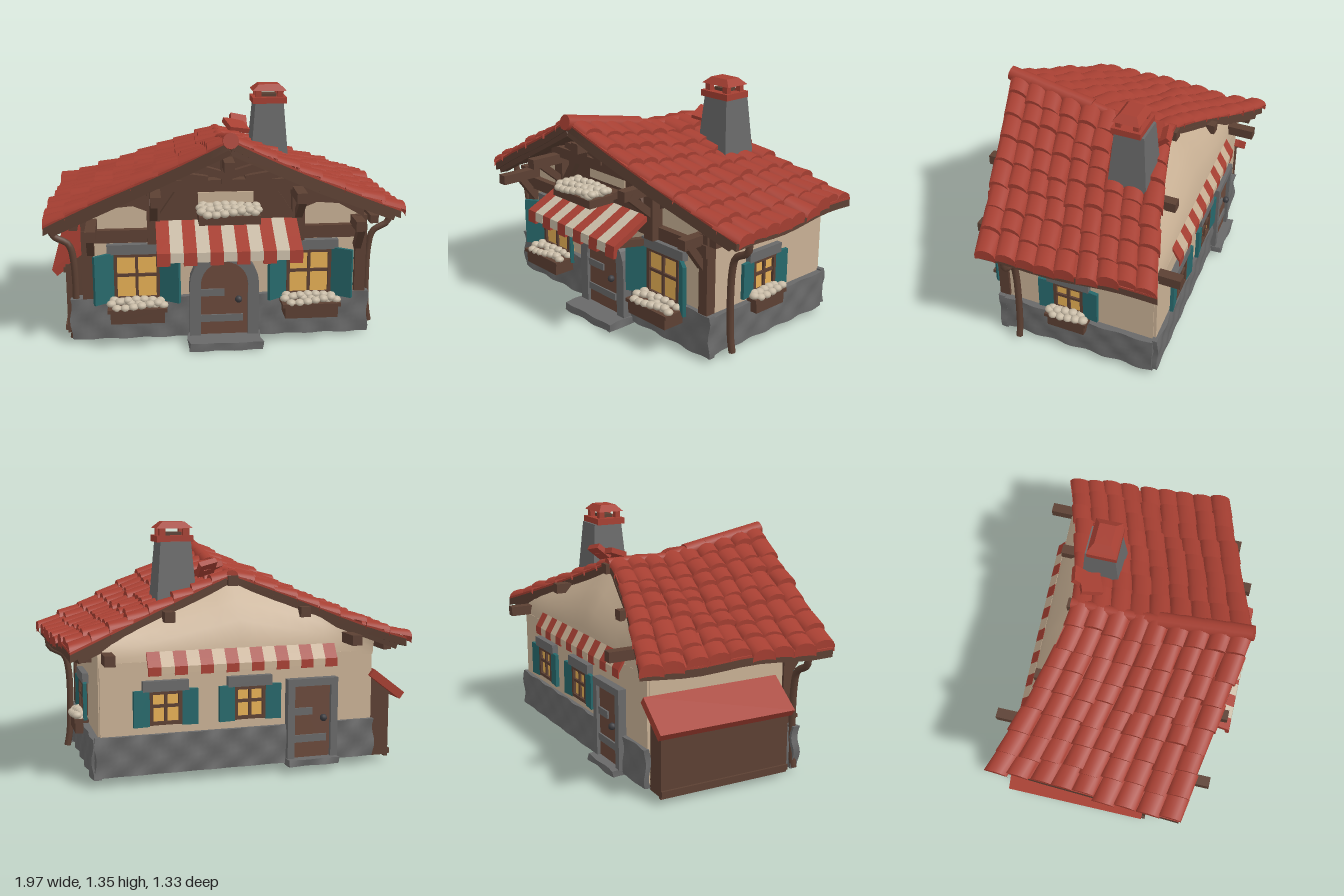
import * as THREE from 'three';

const mat = (name, color, side = THREE.FrontSide) => Object.assign(new THREE.MeshStandardMaterial({ color, side }), { name });
const tile = mat('red tile', 0xa63f32, THREE.DoubleSide), plaster = mat('cream plaster', 0xc8b094, THREE.DoubleSide);
const wood = mat('brown timber', 0x5c4033), stone = mat('grey stone', 0x696969), teal = mat('teal paint', 0x27686b);
const glass = mat('lit window', 0xe6b055), pale = mat('pale cloth and flowers', 0xc8bba6);
const doorWood = mat('door wood', 0x6a493b), iron = mat('dark iron', 0x3c3c40);
const { lerp } = THREE.MathUtils;

function place(parent, object, name, x = 0, y = 0, z = 0) {
  object.name = name;
  object.position.set(x, y, z);
  parent.add(object);
  return object;
}
const add = (p, name, geo, m, x, y, z) => place(p, new THREE.Mesh(geo, m), name, x, y, z);
const box = (p, name, m, w, h, d, x, y, z) => add(p, name, new THREE.BoxGeometry(w, h, d), m, x, y, z);
const extrude = (shape, depth) => new THREE.ExtrudeGeometry(shape, { depth, bevelEnabled: false });
const polygon = (pts) => new THREE.Shape(pts.map(([x, y]) => new THREE.Vector2(x, y)));
function turned(parent, name, x, y, z, ry) {
  const g = place(parent, new THREE.Group(), name, x, y, z);
  g.rotation.y = ry;
  return g;
}
// Square timber running from a to b
function beam(p, name, a, b, t) {
  const A = new THREE.Vector3(...a), B = new THREE.Vector3(...b), mid = A.clone().lerp(B, 0.5);
  box(p, name, wood, t, t, A.distanceTo(B), mid.x, mid.y, mid.z).lookAt(B);
}
function mapVertices(geo, fn) {
  const pos = geo.attributes.position, v = new THREE.Vector3();
  for (let i = 0; i < pos.count; i++) {
    fn(v.fromBufferAttribute(pos, i));
    pos.setXYZ(i, v.x, v.y, v.z);
  }
  geo.computeVertexNormals();
  return geo;
}
// Lumpy stonework given by its limits
function rubble(p, name, x0, x1, y0, y1, z0, z1) {
  const n = (d) => Math.max(2, Math.round(d / 0.03));
  const g = new THREE.BoxGeometry(x1 - x0, y1 - y0, z1 - z0, n(x1 - x0), n(y1 - y0), n(z1 - z0));
  add(p, name, mapVertices(g.translate((x0 + x1) / 2, (y0 + y1) / 2, (z0 + z1) / 2), (v) => {
    const { x, y, z } = v;
    v.x += 0.008 * Math.sin(36 * y + 3) * Math.sin(31 * z);
    v.z += 0.008 * Math.sin(31 * x) * Math.sin(36 * y + 1);
  }), stone);
}
// Roof surface: s runs from -1 (eave) over 0 (ridge) to 1 (eave), v from front to back
function roofPoint(s, v, lift = 0) {
  const u = Math.abs(s);
  const z = lerp(0.65 - (s > 0 ? 0.28 : 0.17) * u, -0.33 - 0.27 * u ** 1.3, v);
  const y = lerp(1.055 + 0.19 * Math.max(0, z), 0.705, u) + 0.01 * Math.sin(9 * z + 5 * s) * u;
  return new THREE.Vector3(lerp(0.97, 0.91, v) * s, y + lift, z);
}
const roofSlab = (low, high) => mapVertices(new THREE.BoxGeometry(2, 1, 1, 16, 1, 10),
  (v) => v.copy(roofPoint(v.x, 0.5 - v.z, v.y > 0 ? high : low)));
// Overlapping half-round tiles on one slope
function tiles(side) {
  const pos = [], idx = [], cols = 9, rows = 8, K = 6;
  let seed = side > 0 ? 7 : 19;
  const rnd = () => ((seed = (seed * 16807) % 2147483647) / 2147483647) - 0.5;
  for (let j = 0; j < cols; j++) for (let i = 0; i < rows; i++) {
    const end = (i + 1) / rows + 0.015 + rnd() * 0.035, shift = rnd() * 0.02, rise = 0.02 + rnd() * 0.016;
    const start = pos.length / 3;
    for (const [u, lift, h] of [[i / rows, 0.006, 0.028], [end, rise, 0.036], [end, rise, 0.036], [end - 0.004, -0.015, 0.008]])
      for (let k = 0; k <= K; k++) {
        const t = Math.PI * k / K, v = (j + 0.5) / cols - Math.cos(t) * 0.06 + shift;
        pos.push(...roofPoint(side * u, v, lift + Math.sin(t) * h));
      }
    for (const a of [start, start + 2 * (K + 1)]) for (let k = a; k < a + K; k++)
      idx.push(k, k + K + 1, k + 1, k + K + 1, k + K + 2, k + 1);
  }
  const g = new THREE.BufferGeometry().setAttribute('position', new THREE.Float32BufferAttribute(pos, 3)).setIndex(idx);
  g.computeVertexNormals();
  return g;
}
// Bank of blossoms along x
function flowers(p, w, y, z, spread) {
  const n = Math.round(w / 0.014);
  for (let i = 0; i < n; i++) add(p, 'flowers', new THREE.IcosahedronGeometry(0.027, 1), pale,
    (i / (n - 1) - 0.5) * w, y + 0.01 * Math.sin(i * 2.3), z + spread * Math.sin(i * 4.1)).scale.y = 0.75;
}
// Window facing local +z, centred on its panes; planter is the depth of the flower box
function makeWindow(parent, x, y, z, ry, w, h, shutterW, angle, planter) {
  const g = turned(parent, 'window', x, y, z, ry);
  box(g, 'glass', glass, w, h, 0.08, 0, 0, -0.03);
  for (const s of [-1, 1]) {
    box(g, 'frameSide', wood, 0.018, h + 0.02, 0.03, s * w / 2, 0, 0.01);
    box(g, 'frameRail', wood, w, 0.018, 0.03, 0, s * h / 2, 0.01);
    box(g, 'shutter', teal, shutterW / Math.cos(angle), h + 0.03, 0.02, s * (w / 2 + 0.01 + shutterW / 2), 0,
      0.015 + shutterW * Math.sin(angle) / 2).rotation.y = -s * angle;
  }
  box(g, 'mullion', wood, 0.016, h, 0.02, 0, 0, 0.012);
  box(g, 'transom', wood, w, 0.016, 0.02, 0, 0.01, 0.012);
  box(g, 'lintel', stone, w + 0.09, 0.055, 0.04, 0, h / 2 + 0.035, 0.01);
  if (!planter) return;
  box(g, 'flowerBox', wood, w + 0.06, 0.075, planter + 0.06, 0, -h / 2 - 0.065, planter / 2 - 0.01);
  box(g, 'flowerBoxRim', wood, w + 0.09, 0.02, planter + 0.015, 0, -h / 2 - 0.03, planter / 2 + 0.02);
  flowers(g, w + 0.05, -h / 2 - 0.008, planter / 2 + 0.02, planter * 0.4);
}
// Door in a stone surround facing local +z; spring heights a and b start the arches, steps = 1 gives a square head
function makeDoor(parent, x, y, z, ry, a, springA, b, springB, steps) {
  const g = turned(parent, 'door', x, y, z, ry);
  const outline = (r, spring) => [[r, 0], ...Array.from({ length: steps + 1 }, (_, i) =>
    [r * Math.cos(Math.PI * i / steps), spring + r * Math.sin(Math.PI * i / steps)]), [-r, 0]];
  const leaf = outline(b, springB).reverse();
  add(g, 'doorSurround', extrude(polygon([...outline(a, springA), ...leaf]), 0.06), stone, 0, 0, -0.02);
  add(g, 'doorLeaf', extrude(polygon(leaf), 0.09), doorWood, 0, 0, -0.07);
  box(g, 'upperStrap', stone, b, 0.04, 0.012, -b * 0.5, 0.26, 0.024);
  box(g, 'lowerStrap', stone, b * 1.8, 0.04, 0.012, -b * 0.1, 0.11, 0.024);
  add(g, 'handle', new THREE.SphereGeometry(0.02, 10, 8), iron, b * 0.6, 0.22, 0.035);
}
// Striped awning hung from its upper edge
function makeAwning(parent, x, y, z, ry, n, w, drop, reach, second) {
  const g = turned(parent, 'awning', x, y, z, ry);
  for (let i = 0; i < n; i++) {
    const end = i % 2 ? 0.9 : 1;
    const side = polygon([[0, 0], [0.55, -0.35], [1, -0.62], [1.02, -end], [0.93, -end], [0.9, -0.75], [0.5, -0.52], [0, -0.16]]
      .map(([a, b]) => [a * reach, b * drop]));
    add(g, 'awningStripe', extrude(side, w).rotateY(-Math.PI / 2), i % 2 ? second : tile, (i - n / 2 + 1) * w);
  }
}

export function createModel() {
  const house = new THREE.Group();
  house.name = 'cottage';
  const back = turned(house, 'backWallParts', 0, 0, -0.505, 0.04);

  // Stone footing and steps
  rubble(house, 'frontFooting', 0.13, 0.8, 0.02, 0.26, 0.335, 0.375);
  rubble(house, 'frontFooting', -0.85, -0.13, 0.025, 0.26, 0.335, 0.375);
  rubble(house, 'leftFooting', 0.76, 0.8, 0.035, 0.25, -0.54, 0.37);
  rubble(house, 'rightFooting', -0.82, -0.76, 0.04, 0.25, -0.46, 0.37);
  rubble(back, 'backFooting', -0.26, 0.79, 0.05, 0.26, -0.03, 0);
  rubble(back, 'backFooting', -0.77, -0.53, 0.05, 0.26, -0.03, 0);
  rubble(house, 'frontStep', -0.21, 0.19, 0, 0.045, 0.33, 0.54);
  rubble(back, 'backStep', -0.54, -0.25, 0.04, 0.075, -0.09, 0.02);

  // Plastered walls, with the rear gable leaning in under the roof
  const gable = polygon([[-0.76, 0.05], [0.76, 0.05], [0.76, 0.72], [0, 1.06], [-0.76, 0.72]]);
  add(house, 'frontWall', new THREE.ShapeGeometry(gable), plaster, 0, 0, 0.345);
  box(house, 'leftWall', plaster, 0.02, 0.67, 0.87, 0.755, 0.395, -0.095);
  box(house, 'rightWall', plaster, 0.02, 0.67, 0.81, -0.755, 0.395, -0.065);
  box(back, 'backWall', plaster, 1.52, 0.57, 0.02, 0, 0.355, 0);
  add(house, 'rearGable', mapVertices(new THREE.PlaneGeometry(1.53, 1, 16, 4), (v) => {
    const t = v.y + 0.5, top = roofPoint(v.x / 0.91, 0.98);
    v.set(v.x, lerp(0.62, top.y - 0.02, t), lerp(-0.515 - 0.04 * v.x, top.z, t * t));
  }), plaster);

  // Roof, ridge caps and raised tiles beside the chimney
  add(house, 'roofBoards', roofSlab(-0.04, 0), wood);
  add(house, 'roofBed', roofSlab(0, 0.012), tile);
  for (const s of [-1, 1]) add(house, 'roofTiles', tiles(s), tile);
  for (let i = 0; i < 8; i++) {
    const p = roofPoint(0, (i + 0.5) / 8), r = i < 4 ? 0.047 : 0.034;
    add(house, 'ridgeTile', new THREE.CylinderGeometry(r * 0.88, r, 0.14, 12), tile, p.x, p.y, p.z)
      .rotation.x = Math.PI / 2 - (p.z > 0 ? 0.19 : 0) - 0.04;
  }
  box(house, 'raisedTile', tile, 0.13, 0.03, 0.12, 0.12, 1.09, -0.26).rotation.set(0.35, 0.3, -0.3);
  box(house, 'raisedTile', tile, 0.1, 0.03, 0.1, 0.14, 1.1, -0.32).rotation.set(0.7, 0, -0.3);

  // Purlins, barge boards and front timber frame
  for (const [x, y, z0, z1] of [[-0.72, 0.68, -0.46, 0.6], [0.72, 0.67, -0.66, 0.5], [0, 1.03, -0.36, 0.6],
    [-0.38, 0.86, -0.46, 0.62], [0.38, 0.86, -0.5, 0.6], [-0.61, 0.72, -0.63, -0.3]])
    beam(house, 'purlin', [x, y, z0], [x, y, z1], 0.055);
  for (const s of [-1, 1]) {
    for (const v of [0.03, 0.97]) for (const [a, b] of [[0, 0.5], [0.5, 0.96]])
      beam(house, 'bargeBoard', roofPoint(s * a, v, -0.045), roofPoint(s * b, v, -0.045), 0.045);
    beam(house, 'eaveBeam', [s * 0.82, 0.675, -0.55], [s * 0.82, 0.675, 0.38], 0.045);
    box(house, 'cornerPost', wood, 0.06, 0.44, 0.06, s * 0.75, 0.48, 0.345);
    box(house, 'framePost', wood, 0.07, 0.34, 0.07, s * 0.39, 0.75, 0.39);
    const spandrel = polygon([[0.4, 0.74], [0.5, 0.78], [0.62, 0.77], [0.76, 0.69], [0.76, 0.73], [0.4, 0.92]].map(([x, y]) => [s * x, y]));
    add(house, 'gableSpandrel', extrude(spandrel, 0.025), wood, 0, 0, 0.348);
    for (const [x0, y0, z0, x1, y1, z1] of [[0, 0.95, 0.43, 0.2, 1.01, 0.43], [0.1, 0.93, 0.42, 0.3, 0.96, 0.42],
      [0.39, 0.66, 0.4, 0.24, 0.88, 0.4], [0.39, 0.68, 0.36, 0.39, 0.85, 0.56], [0.73, 0.52, 0.36, 0.73, 0.67, 0.47],
      [0.3, 0.53, 0.36, 0.3, 0.57, 0.57]])
      beam(house, 'frontBrace', [s * x0, y0, z0], [s * x1, y1, z1], 0.04);
  }
  box(house, 'sillBeam', wood, 1.56, 0.07, 0.06, 0, 0.615, 0.355);
  box(house, 'collarBeam', wood, 0.86, 0.06, 0.08, 0, 0.9, 0.4);
  box(house, 'kingPost', wood, 0.06, 0.18, 0.06, 0, 1.0, 0.42);
  box(house, 'balconyBoards', wood, 0.76, 0.25, 0.03, 0, 0.775, 0.36);
  box(house, 'balconyPanel', plaster, 0.3, 0.06, 0.008, 0, 0.82, 0.379);
  add(house, 'gableBoards', extrude(polygon([[-0.43, 0.88], [0.43, 0.88], [0, 1.07]]), 0.02), wood, 0, 0, 0.35);
  box(house, 'balconyBox', wood, 0.32, 0.045, 0.16, 0, 0.76, 0.55);
  box(house, 'balconyArm', wood, 0.22, 0.04, 0.16, 0, 0.75, 0.42);
  for (const z of [0.51, 0.59]) flowers(house, 0.29, 0.8, z, 0.035);

  // Openings and awnings
  for (const x of [-0.485, 0.46]) makeWindow(house, x, 0.385, 0.365, 0, 0.23, 0.245, 0.105, 0.6, 0.12);
  makeWindow(house, 0.768, 0.38, -0.05, Math.PI / 2, 0.155, 0.17, 0.085, 0.1, 0.05);
  for (const x of [0.42, -0.04]) makeWindow(back, x, 0.4, -0.015, Math.PI, 0.155, 0.16, 0.085, 0.1, 0);
  makeDoor(house, -0.01, 0.03, 0.385, 0, 0.19, 0.31, 0.13, 0.31, 12);
  makeDoor(back, -0.395, 0.07, -0.015, Math.PI, 0.145, 0.44, 0.105, 0.4, 1);
  makeAwning(house, 0, 0.71, 0.42, 0, 11, 0.069, 0.18, 0.23, pale);
  makeAwning(back, -0.01, 0.69, -0.005, Math.PI, 15, 0.07, 0.12, 0.045, plaster);

  // Chimney with tiled cap
  const square = (top, bottom, h) => mapVertices(new THREE.CylinderGeometry(top * Math.SQRT2, bottom * Math.SQRT2, h, 4)
    .rotateY(Math.PI / 4).toNonIndexed(), (v) => v);
  add(house, 'chimneyStack', square(0.083, 0.115, 0.39), stone, 0.305, 1.045, -0.228);
  box(house, 'chimneyCollar', tile, 0.2, 0.035, 0.165, 0.305, 1.255, -0.215);
  for (const sx of [-1, 1]) for (const sz of [-1, 1])
    box(house, 'chimneyPost', tile, 0.035, 0.05, 0.03, 0.305 + sx * 0.065, 1.292, -0.215 + sz * 0.05);
  box(house, 'chimneyFlue', wood, 0.09, 0.02, 0.07, 0.305, 1.28, -0.215);
  add(house, 'chimneyCap', square(0.06, 0.1, 0.035), tile, 0.305, 1.328, -0.215).scale.z = 0.75;

  // Downpipes
  for (const [s, z] of [[1, 0.24], [-1, 0.35]]) {
    const path = [[0.94, 0.68], [0.93, 0.62], [0.85, 0.57], [0.825, 0.48], [0.825, 0.12], [0.84, 0.03]];
    const curve = new THREE.CatmullRomCurve3(path.map(([x, y]) => new THREE.Vector3(s * x, y, z)));
    add(house, 'downpipe', new THREE.TubeGeometry(curve, 28, 0.019, 8), wood);
  }

  // Lean-to shed
  const shedEnd = polygon([[-0.87, 0.04], [-0.76, 0.04], [-0.76, 0.5], [-0.87, 0.42]]);
  for (const z of [-0.47, 0.26]) add(house, 'shedEnd', extrude(shedEnd, 0.02), wood, 0, 0, z);
  box(house, 'shedSide', wood, 0.02, 0.4, 0.75, -0.865, 0.23, -0.095);
  for (const y of [0.06, 0.4]) box(house, 'shedRail', wood, 0.02, 0.03, 0.75, -0.877, y, -0.095);
  box(house, 'shedRoof', tile, 0.23, 0.045, 0.78, -0.845, 0.45, -0.12).rotation.z = 0.65;
  return house;
}
